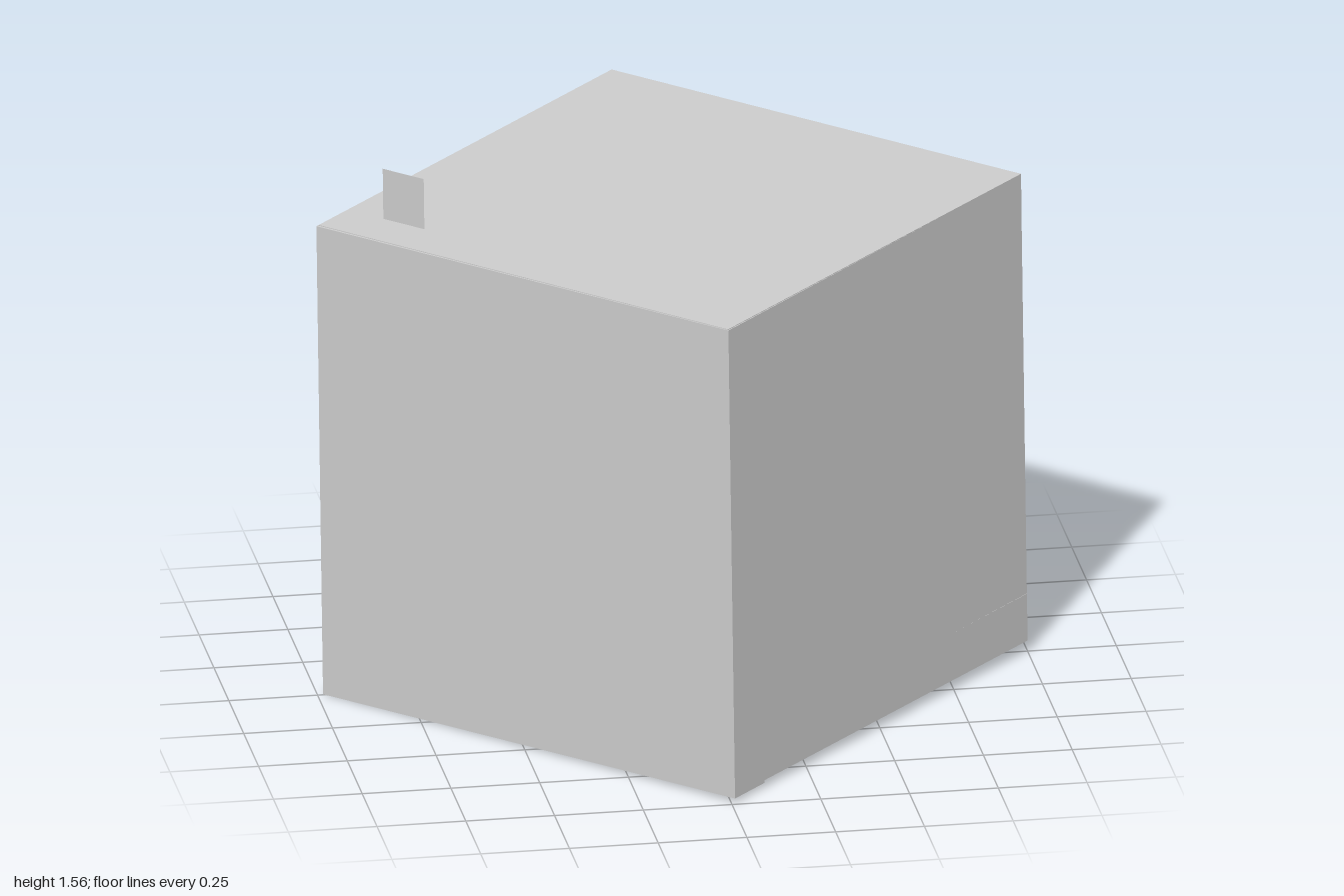
import * as THREE from 'three';

const SIDE = 1.4, HEIGHT = 1.397, WALL = 0.14, HALF = SIDE / 2;

export function createModel() {
  const model = new THREE.Group();
  model.name = 'openCube';
  const material = new THREE.MeshStandardMaterial({ color: 0xcccccc, flatShading: true });
  const thin = new THREE.MeshStandardMaterial({ color: 0xcccccc, side: THREE.DoubleSide });

  // the cube stands on its diagonal and leans very slightly sideways
  const lean = new THREE.Group();
  lean.name = 'leaningFrame';
  lean.position.set(0.01, 0.021, 0);
  lean.rotation.z = 0.0133;
  const cube = new THREE.Group();
  cube.name = 'cube';
  cube.rotation.y = Math.PI / 4;
  lean.add(cube);
  model.add(lean);

  const addBox = (name, size, position) => {
    const mesh = new THREE.Mesh(new THREE.BoxGeometry(...size), material);
    mesh.name = name;
    mesh.position.set(...position);
    cube.add(mesh);
    return mesh;
  };

  // floor and roof slabs, turned a hair so one end shows through the wall
  for (const [name, y] of [['floorSlab', WALL / 2], ['roofSlab', HEIGHT - WALL / 2]]) {
    const slab = addBox(name, [SIDE - 0.004, WALL, SIDE], [0.003, y, -0.001]);
    slab.rotation.y = -0.003;
  }

  // two closed walls; the other two sides stay open
  addBox('rightFrontWall', [WALL, HEIGHT + 0.004, SIDE + 0.006],
    [-HALF + WALL / 2, HEIGHT / 2 - 0.004, -0.003]);
  addBox('leftFrontWall', [SIDE - WALL, HEIGHT - 0.004, WALL],
    [WALL / 2, HEIGHT / 2, HALF - WALL / 2]);

  // thin upright tab on the roof, in line with the inner wall face
  const tab = new THREE.Mesh(new THREE.PlaneGeometry(0.14, 0.15), thin);
  tab.name = 'roofTab';
  tab.rotation.y = Math.PI / 2;
  tab.position.set(-HALF + WALL + 0.004, HEIGHT + 0.075, -0.51);
  cube.add(tab);

  return model;
}
